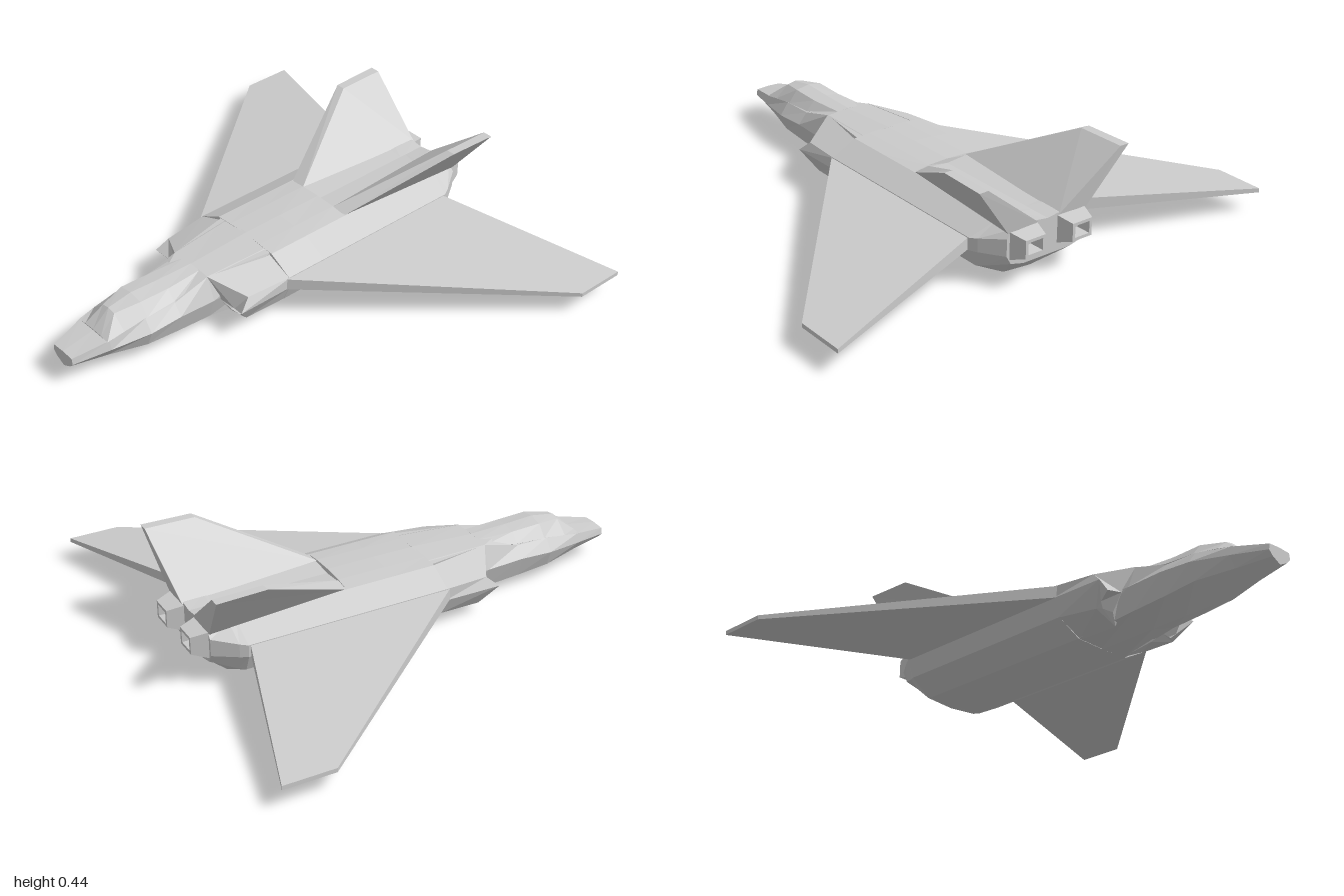
import * as THREE from 'three';

const material = new THREE.MeshStandardMaterial({ color: 0xcccccc, flatShading: true });

// Skin a chain of closed rings ([x, y, z] corners) and close both ends.
function loft(name, rings, mirrored = false) {
  if (mirrored) rings = rings.map(r => r.map(([x, y, z]) => [-x, y, z]).reverse());
  const pos = [];
  const tri = (a, b, c) => pos.push(...a, ...b, ...c);
  const n = rings[0].length;
  for (let i = 0; i < rings.length - 1; i++) {
    const f = rings[i], k = rings[i + 1];
    for (let j = 0; j < n; j++) {
      const m = (j + 1) % n;
      tri(f[j], k[j], k[m]);
      tri(f[j], k[m], f[m]);
    }
  }
  const first = rings[0], last = rings[rings.length - 1];
  for (let j = 1; j < n - 1; j++) {
    tri(first[0], first[j], first[j + 1]);
    tri(last[0], last[j + 1], last[j]);
  }
  const geometry = new THREE.BufferGeometry();
  geometry.setAttribute('position', new THREE.Float32BufferAttribute(pos, 3));
  geometry.computeVertexNormals();
  const mesh = new THREE.Mesh(geometry, material);
  mesh.name = name;
  return mesh;
}

// Half section from bottom centre round the left side to top centre, mirrored into a ring.
function ring(z, half) {
  const other = half.slice(1, -1).reverse().map(([x, y]) => [-x, y]);
  return [...half, ...other].map(([x, y]) => [x, y, z]);
}

// Rectangular section at one z.
const rect = (x0, x1, y0, y1, z) => [[x0, y0, z], [x1, y0, z], [x1, y1, z], [x0, y1, z]];

export function createModel() {
  const model = new THREE.Group();
  model.name = 'jetAircraft';

  // Nose and forward fuselage
  model.add(loft('forwardFuselage', [
    ring(0.98, [[0, 0.06], [0.04, 0.08], [0.06, 0.1], [0.055, 0.125], [0, 0.128]]),
    ring(0.83, [[0, 0.032], [0.07, 0.072], [0.1, 0.115], [0.09, 0.153], [0, 0.155]]),
    ring(0.67, [[0, 0.004], [0.11, 0.062], [0.137, 0.13], [0.1, 0.18], [0, 0.19]]),
    ring(0.53, [[0, 0.004], [0.11, 0.05], [0.138, 0.137], [0.1, 0.182], [0, 0.22]]),
    ring(0.37, [[0, 0.003], [0.11, 0.04], [0.138, 0.13], [0.1, 0.225], [0, 0.23]]),
    ring(0.09, [[0, 0], [0.13, 0.004], [0.14, 0.13], [0.15, 0.235], [0, 0.245]]),
  ]));

  // Canopy
  model.add(loft('canopy', [
    ring(0.84, [[0, 0.12], [0.09, 0.15], [0.05, 0.155], [0, 0.157]]),
    ring(0.765, [[0, 0.12], [0.095, 0.165], [0.035, 0.215], [0, 0.222]]),
    ring(0.66, [[0, 0.12], [0.1, 0.18], [0.06, 0.23], [0, 0.24]]),
    ring(0.53, [[0, 0.12], [0.097, 0.187], [0.06, 0.226], [0, 0.234]]),
    ring(0.37, [[0, 0.12], [0.09, 0.215], [0.05, 0.227], [0, 0.231]]),
  ]));

  // Main body, tapering in at the tail, with a lowered deck between the fins
  const body = (top, deck) => [[0, 0], [0.13, 0.004], [0.235, 0.06], [0.265, 0.13],
    [0.265, 0.18], [0.16, 0.235], [0.09, top], [0, deck]];
  model.add(loft('mainBody', [
    ring(0.1, body(0.24, 0.244)),
    ring(-0.08, body(0.242, 0.246)),
    ring(-0.285, body(0.243, 0.246)),
    ring(-0.287, body(0.236, 0.228)),
    ring(-0.75, body(0.236, 0.228)),
    ring(-0.78, [[0, 0], [0.125, 0.01], [0.22, 0.066], [0.25, 0.13], [0.25, 0.185], [0.16, 0.235], [0.07, 0.236], [0, 0.228]]),
    ring(-0.87, [[0, 0.08], [0.11, 0.08], [0.17, 0.095], [0.19, 0.13], [0.19, 0.2], [0.165, 0.233], [0.05, 0.235], [0, 0.228]]),
  ]));

  for (const mirrored of [false, true]) {
    const side = mirrored ? 'right' : 'left';

    // Raked air intake: recess, lip, outer skin
    model.add(loft(side + 'Intake', [
      [[0.14, 0.055, 0.17], [0.195, 0.045, 0.17], [0.21, 0.07, 0.17], [0.2, 0.11, 0.17], [0.14, 0.115, 0.17]],
      [[0.14, 0.05, 0.29], [0.19, 0.05, 0.285], [0.21, 0.07, 0.295], [0.205, 0.11, 0.325], [0.14, 0.118, 0.335]],
      [[0.1, 0.012, 0.265], [0.215, 0.045, 0.275], [0.265, 0.128, 0.34], [0.245, 0.172, 0.29], [0.1, 0.226, 0.372]],
      [[0.12, 0.004, 0.09], [0.235, 0.06, 0.09], [0.265, 0.13, 0.09], [0.265, 0.18, 0.09], [0.12, 0.238, 0.09]],
    ], mirrored));

    // Swept wing slab
    model.add(loft(side + 'Wing', [
      [[0.2, 0.133, 0.188], [0.2, 0.184, 0.188], [0.2, 0.184, -0.72], [0.2, 0.133, -0.72]],
      [[1, 0.08, -0.77], [1, 0.097, -0.77], [1, 0.097, -0.98], [1, 0.08, -0.98]],
    ], mirrored));

    // Canted tail fin
    model.add(loft(side + 'TailFin', [
      [[0.05, 0.23, -0.875], [0.185, 0.22, -0.87], [0.155, 0.232, -0.285], [0.09, 0.24, -0.285]],
      [[0.31, 0.44, -0.905], [0.35, 0.44, -0.905], [0.342, 0.44, -0.7], [0.305, 0.44, -0.7]],
    ], mirrored));

    // Hollow square exhaust nozzle
    model.add(loft(side + 'Nozzle', [
      rect(0.045, 0.18, 0.11, 0.226, -0.86),
      rect(0.065, 0.157, 0.138, 0.21, -0.935),
      rect(0.077, 0.145, 0.15, 0.198, -0.935),
      rect(0.085, 0.137, 0.155, 0.193, -0.88),
    ], mirrored));
  }
  return model;
}
